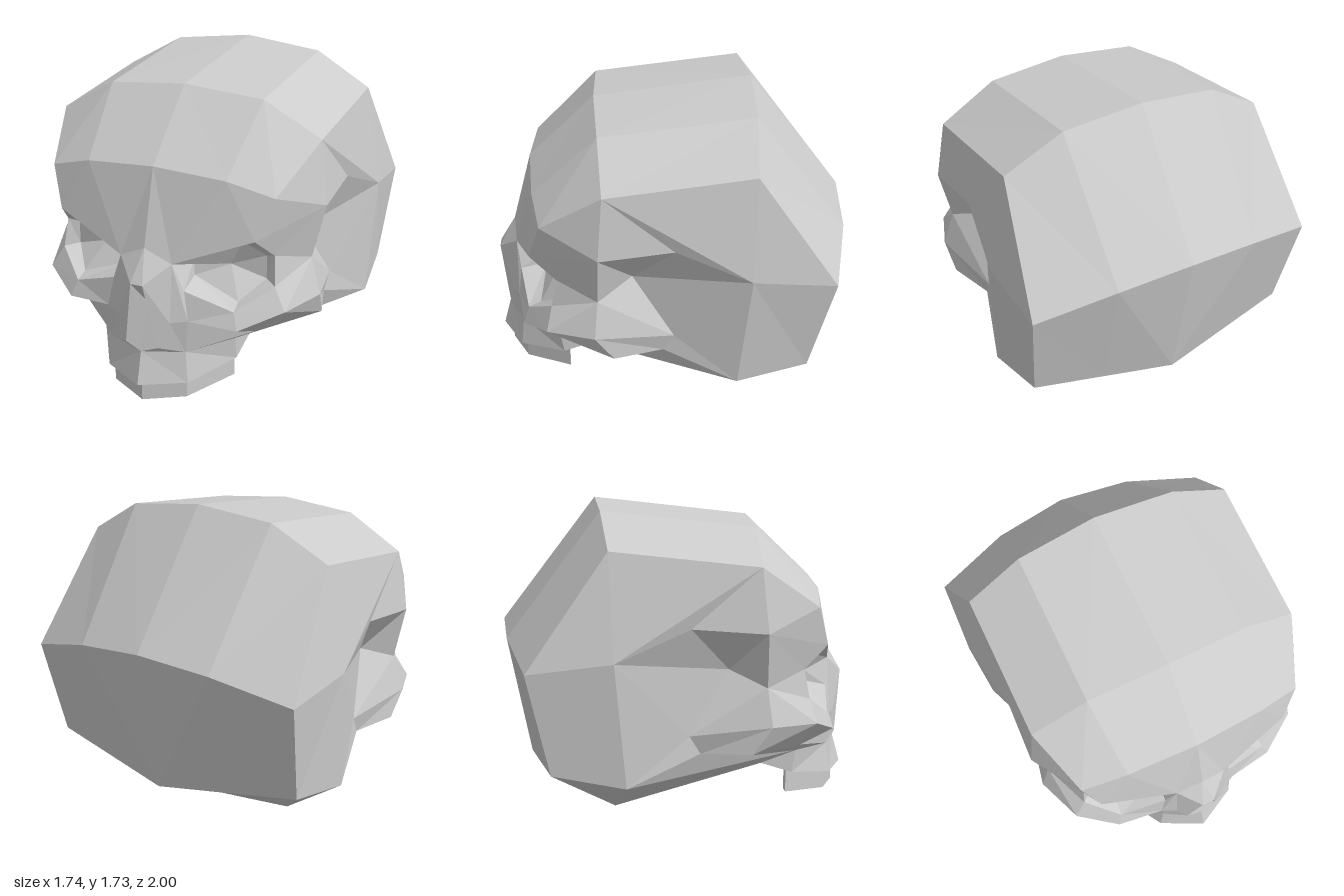
import * as THREE from 'three';

const bone = new THREE.MeshStandardMaterial({ color: 0xcccccc, flatShading: true, side: THREE.DoubleSide });

// Quads between rows of points (rows run down, columns run right, seen from outside)
function grid(rows) {
  const tris = [];
  for (let r = 0; r + 1 < rows.length; r++) {
    for (let c = 0; c + 1 < rows[r].length; c++) {
      const a = rows[r][c], b = rows[r + 1][c], d = rows[r + 1][c + 1], e = rows[r][c + 1];
      tris.push([a, b, d], [a, d, e]);
    }
  }
  return tris;
}

// Polygon split from its first corner, counter-clockwise from outside
const fan = (...p) => p.slice(2).map((q, i) => [p[0], p[i + 1], q]);

// Mesh of the +x half plus its mirror image
function mirrored(name, ...patches) {
  const pos = [];
  for (const [a, b, c] of patches.flat()) {
    pos.push(...a, ...b, ...c);
    for (const [x, y, z] of [a, c, b]) pos.push(-x, y, z);
  }
  const geo = new THREE.BufferGeometry();
  geo.setAttribute('position', new THREE.Float32BufferAttribute(pos, 3));
  geo.computeVertexNormals();
  const mesh = new THREE.Mesh(geo, bone);
  mesh.name = name;
  return mesh;
}

export function createModel() {
  const skull = new THREE.Group();
  skull.name = 'skull';

  // Corners shared between neighbouring parts
  const glabella = [0, 0.87, 0.885], browInner = [0.15, 0.8, 0.87], browOuter = [0.57, 0.96, 0.77];
  const foreheadSide = [0.65, 1.18, 0.7], crownFront = [0.77, 1.41, 0.37], crownBack = [0.77, 1.5, -0.42];
  const backSide = [0.85, 0.89, -0.85], napeSide = [0.8, 0.34, -0.73];
  const baseEdge = [0.53, 0.07, -0.39], baseSide = [0.84, 0.27, -0.34], baseFront = [0.41, 0.25, 0.44];
  const templeFront = [0.82, 1.07, 0.4], templeBack = [0.8, 1.1, 0], templePit = [0.63, 0.85, 0.22];
  const cheekTop = [0.75, 0.77, 0.41], cheekLow = [0.71, 0.56, 0.69];
  const cheekMid = [0.5, 0.47, 0.83], cheekInner = [0.24, 0.49, 0.87];
  const archFront = [0.81, 0.57, 0.43], archBack = [0.72, 0.51, 0];
  const archFrontLow = [0.79, 0.42, 0.33], archBackLow = [0.71, 0.41, 0.06], cheekUnder = [0.53, 0.39, 0.64];
  const jawMid = [0, 0.3, 0.95], jawFront = [0.22, 0.3, 0.86], jawSide = [0.41, 0.32, 0.64];
  const noseTop = [0, 0.7, 0.98], noseTopSide = [0.035, 0.7, 0.98];
  const noseWing = [0.155, 0.48, 0.91], noseLow = [0.095, 0.335, 0.94], nosePit = [0, 0.56, 0.87];
  const jawRim = [[0, 0.12, 1], [0.24, 0.13, 0.88], [0.41, 0.19, 0.62]];
  const palate = [[0, 0.23, 0.62], [0.2, 0.23, 0.62], jawRim[2]];
  const baseFrontRow = [[0, 0.21, 0.44], [0.2, 0.23, 0.44], baseFront];

  // Eye socket rims, counter-clockwise from the front
  const rim = [[0.455, 0.9, 0.66], browInner, [0.21, 0.65, 0.85], [0.47, 0.56, 0.8], [0.64, 0.68, 0.66], [0.625, 0.84, 0.63]];
  const floor = [[0.38, 0.75, 0.63], [0.19, 0.76, 0.69], [0.2, 0.68, 0.7], [0.465, 0.59, 0.73], [0.57, 0.69, 0.6], [0.57, 0.82, 0.6]];
  const [rimTop, , rimInner, rimLow, rimOuter, rimOuterTop] = rim;

  // Braincase: rows from under the skull, up the back, over the top, down to the brow
  skull.add(mirrored('cranium',
    grid([
      baseFrontRow,
      [[0, 0.02, -0.4], [0.27, 0.045, -0.395], baseEdge],
      [[0, 0.24, -0.86], [0.4, 0.29, -0.795], napeSide],
      [[0, 1.04, -1], [0.42, 1, -0.96], backSide],
      [[0, 1.73, -0.47], [0.45, 1.68, -0.45], crownBack],
      [[0, 1.63, 0.4], [0.45, 1.59, 0.385], crownFront],
      [[0, 1.28, 0.77], [0.4, 1.25, 0.745], foreheadSide],
      [glabella, browInner, browOuter],
    ]),
    fan(baseEdge, napeSide, baseSide),
    // Side wall around its widest point
    fan([0.87, 0.94, -0.4], baseSide, napeSide, backSide, crownBack, crownFront, templeBack, templePit, archBack, baseSide)));

  // Hollow behind the eye and the wall in front of it
  skull.add(mirrored('temple',
    fan(crownFront, templeFront, templeBack),
    fan(templePit, templeBack, templeFront, cheekTop),
    fan(templeFront, crownFront, foreheadSide, browOuter, rimOuterTop, cheekTop)));

  skull.add(mirrored('cheekbone',
    fan(cheekTop, archFront, archBack, templePit),
    fan(cheekTop, rimOuterTop, rimOuter, cheekLow, archFront),
    fan(rimLow, rimInner, cheekInner, cheekMid, cheekLow, rimOuter),
    grid([[cheekLow, archFront, archBack], [cheekUnder, archFrontLow, archBackLow]]),
    fan(cheekUnder, cheekLow, cheekMid, cheekInner),
    fan(archBack, archBackLow, baseSide),
    // Slope below the cheekbone and the underside beside the base
    fan(jawSide, baseSide, archBackLow, archFrontLow, cheekUnder),
    fan(jawSide, baseFront, baseEdge, baseSide)));

  skull.add(mirrored('eyeSocket',
    fan(browOuter, browInner, rimTop, rimOuterTop),
    grid([[...floor, floor[0]], [...rim, rim[0]]]),
    fan(...floor)));

  skull.add(mirrored('nose',
    fan(glabella, noseTop, noseTopSide, browInner),
    fan(browInner, noseTopSide, noseWing, cheekInner, rimInner),
    fan(noseTopSide, noseTop, nosePit, noseLow, noseWing),
    fan(nosePit, jawMid, noseLow)));

  skull.add(mirrored('upperJaw',
    fan(jawFront, jawSide, cheekUnder, cheekInner, noseWing, noseLow, jawMid),
    grid([[jawMid, jawFront, jawSide], jawRim, palate, baseFrontRow]),
    fan(jawSide, jawRim[2], baseFront)));

  // Teeth: a curved band with a rectangular section
  const outer = [[0, 0.95], [0.22, 0.85], [0.385, 0.59]];
  const inner = [[0, 0.885], [0.18, 0.8], [0.325, 0.59]];
  const top = [0.15, 0.16, 0.205], bottom = [0.005, 0.025, 0.065];
  const row = (path, ys) => path.map(([x, z], i) => [x, ys[i], z]);
  const band = [row(outer, top), row(outer, bottom), row(inner, bottom), row(inner, top), row(outer, top)];
  skull.add(mirrored('teeth', grid(band), fan(...band.slice(0, 4).map((r) => r[2]))));

  return skull;
}
